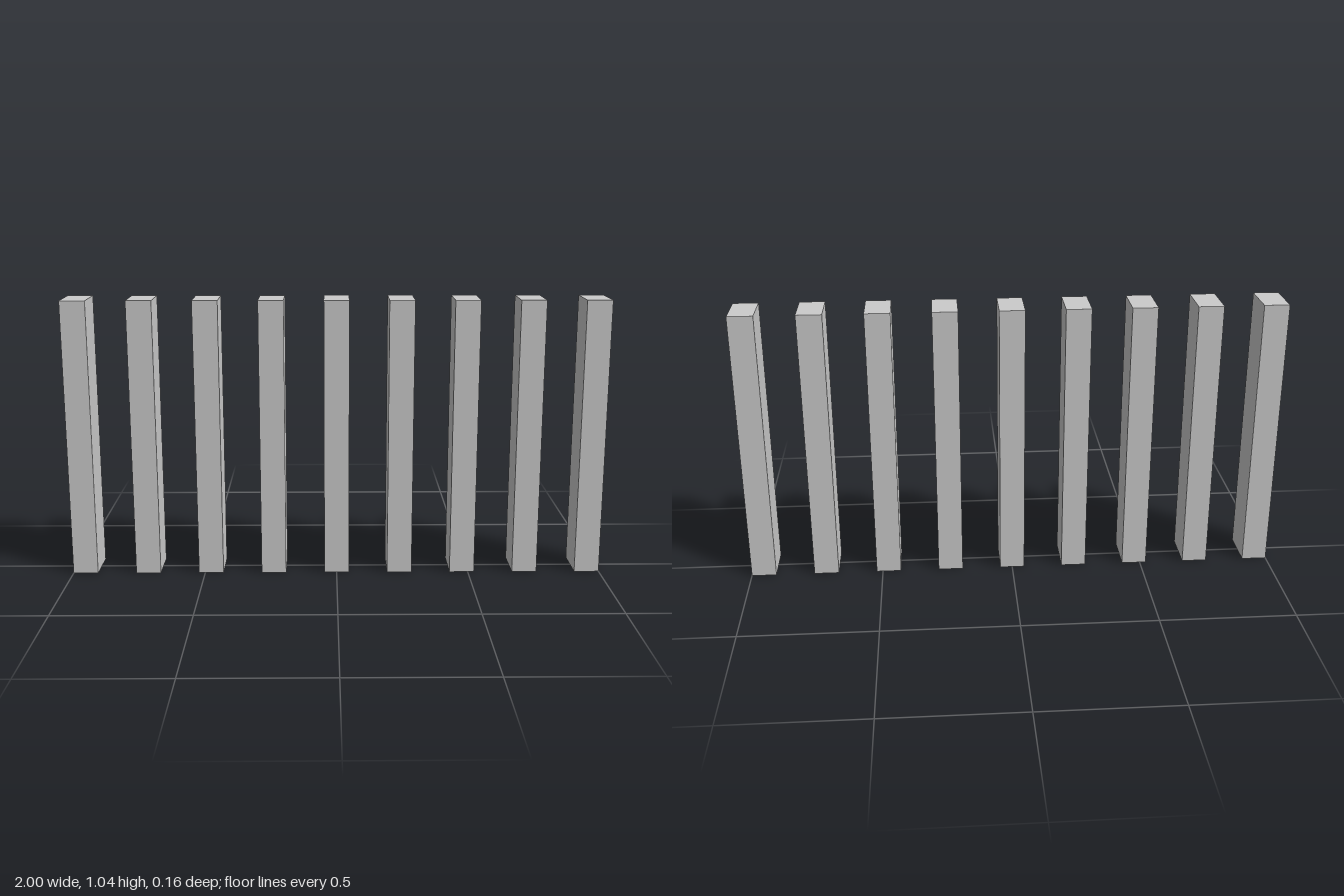
import * as THREE from 'three';

const COUNT = 9;
const WIDTH = 0.093, HEIGHT = 1.037, DEPTH = 0.158;

// Square post: four walls and a cap, open underneath
function openPost() {
  const geometry = new THREE.BoxGeometry(WIDTH, HEIGHT, DEPTH);
  const index = Array.from(geometry.index.array);
  index.splice(18, 6); // drop the bottom face
  geometry.setIndex(index);
  geometry.clearGroups();
  geometry.translate(0, HEIGHT / 2, 0);
  return geometry;
}

export function createModel() {
  const model = new THREE.Group();
  model.name = 'postRow';

  const material = new THREE.MeshStandardMaterial({
    color: 0xcccccc, flatShading: true, side: THREE.DoubleSide,
  });
  const geometry = openPost();
  const spacing = (2 - WIDTH) / (COUNT - 1);

  // Evenly spaced row of posts
  for (let i = 0; i < COUNT; i++) {
    const post = new THREE.Mesh(geometry, material);
    post.name = `post${i + 1}`;
    post.position.x = (i - (COUNT - 1) / 2) * spacing;
    model.add(post);
  }
  return model;
}
